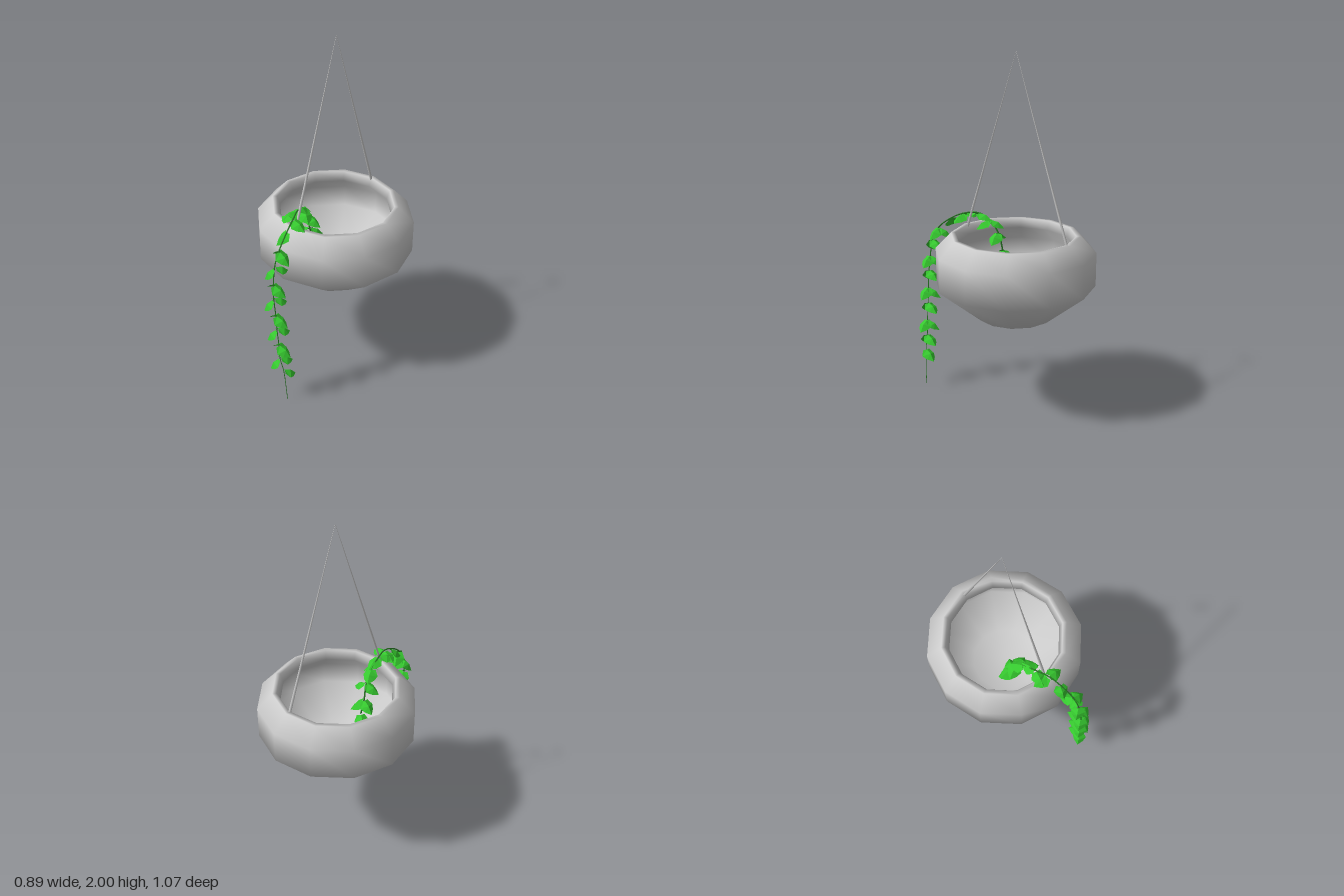
import * as THREE from 'three';
import { mergeGeometries } from 'three/addons/utils/BufferGeometryUtils.js';

const POT_Z = -0.095;
const V = (x, y, z) => new THREE.Vector3(x, y, z);

// Stem nodes from inside the bowl, over the rim and down; each carries leaves as
// [azimuth, droop] in degrees, azimuth turning from +z towards +x.
const NODES = [
  { p: V(-0.06, 0.78, 0.03), leaves: [[-120, 30]] },
  { p: V(-0.07, 0.88, 0.045), leaves: [[-100, 30], [150, 30]] },
  { p: V(-0.06, 0.98, 0.07), leaves: [[-70, 30], [100, 30]] },
  { p: V(-0.05, 1.05, 0.12), leaves: [[60, 25], [-150, 25]] },
  { p: V(-0.03, 1.082, 0.19), leaves: [[-15, 8], [-170, 15]] },
  { p: V(0.0, 1.075, 0.26), leaves: [[85, 20], [-100, 10]] },
  { p: V(0.02, 1.045, 0.33), leaves: [[-20, 40]] },
  { p: V(0.04, 0.975, 0.42), leaves: [[85, 35], [-150, 35]] },
];
const FRONT_BACK = [[-55, 50], [165, 25]];
const SIDES = [[98, 32], [-155, 35]];
[[0.045, 0.895, 0.465], [0.05, 0.795, 0.482], [0.055, 0.705, 0.49], [0.065, 0.6, 0.49],
  [0.07, 0.505, 0.49], [0.08, 0.4, 0.49], [0.085, 0.305, 0.49]].forEach((p, i) =>
  NODES.push({ p: V(...p), leaves: i % 2 ? SIDES : FRONT_BACK }));
NODES.push({ p: V(0.105, 0.22, 0.485), leaves: [[165, 30]] });
NODES.push({ p: V(0.12, 0, 0.475), leaves: [] });

// Heart-shaped blade folded along its midrib, pointing to +z
function leafGeometry() {
  const rib = [[0, 0, 0], [0, 0.007, 0.045], [0, -0.012, 0.098]];
  const pos = [];
  for (const s of [1, -1]) {
    const edge = [[s * 0.024, -0.008, -0.008], [s * 0.045, -0.02, 0.028], [s * 0.03, -0.017, 0.064]];
    const tris = [
      [rib[0], edge[1], edge[0]], [rib[0], rib[1], edge[1]],
      [rib[1], edge[2], edge[1]], [rib[1], rib[2], edge[2]],
    ];
    for (const [a, b, c] of tris) pos.push(...a, ...(s > 0 ? b : c), ...(s > 0 ? c : b));
  }
  const g = new THREE.BufferGeometry();
  g.setAttribute('position', new THREE.Float32BufferAttribute(pos, 3));
  g.computeVertexNormals();
  return g;
}

// Straight tapered rod between two points
function rod(a, b, ra, rb, sides, material) {
  const dir = b.clone().sub(a);
  const mesh = new THREE.Mesh(new THREE.CylinderGeometry(rb, ra, dir.length(), sides), material);
  mesh.position.copy(a).add(b).multiplyScalar(0.5);
  mesh.quaternion.setFromUnitVectors(V(0, 1, 0), dir.normalize());
  return mesh;
}

export function createModel() {
  const model = new THREE.Group();
  const grey = new THREE.MeshStandardMaterial({ color: 0xcccccc });
  const green = new THREE.MeshStandardMaterial({ color: 0x36c92f, flatShading: true, side: THREE.DoubleSide });
  const stemGreen = new THREE.MeshStandardMaterial({ color: 0x2a7d26 });

  // Twelve-sided bowl: outside from the base up, over the lip, then the inside
  const profile = [
    [0, 0.54], [0.21, 0.54], [0.445, 0.73], [0.445, 0.92], [0.357, 1.012], [0.333, 1.012],
    [0.315, 0.96], [0.385, 0.88], [0.385, 0.75], [0.19, 0.6], [0, 0.6],
  ].map(([r, y]) => new THREE.Vector2(r, y));
  const pot = new THREE.Mesh(new THREE.LatheGeometry(profile, 12), grey);
  pot.name = 'pot';
  pot.position.z = POT_Z;
  model.add(pot);

  // Two hanging wires that meet at the top
  for (const [name, s] of [['frontWire', 1], ['backWire', -1]]) {
    const wire = rod(V(0, 1.0, POT_Z + s * 0.335), V(0, 2, POT_Z), 0.008, 0.001, 6, grey);
    wire.name = name;
    model.add(wire);
  }

  // Trailing stem, thinning towards its tip
  const vine = new THREE.Group();
  vine.name = 'vine';
  const curve = new THREE.CatmullRomCurve3(NODES.map((n) => n.p));
  const SEG = 64, SIDE = 5;
  const tube = new THREE.TubeGeometry(curve, SEG, 0.005, SIDE);
  const tp = tube.attributes.position;
  for (let i = 0; i < tp.count; i++) {
    const t = Math.floor(i / (SIDE + 1)) / SEG;
    const c = curve.getPointAt(t);
    const v = V(0, 0, 0).fromBufferAttribute(tp, i).sub(c).multiplyScalar(1 - 0.65 * t).add(c);
    tp.setXYZ(i, v.x, Math.max(v.y, 0), v.z);
  }
  const stem = new THREE.Mesh(tube, stemGreen);
  stem.name = 'stem';
  vine.add(stem);

  // Leaves at the stem nodes
  const blade = leafGeometry();
  const blades = [];
  for (const { p, leaves } of NODES) {
    for (const [azimuth, droop] of leaves) {
      const turn = new THREE.Euler(THREE.MathUtils.degToRad(droop), THREE.MathUtils.degToRad(azimuth), 0, 'YXZ');
      const q = new THREE.Quaternion().setFromEuler(turn);
      const base = V(0, 0, 0.01).applyQuaternion(q).add(p);
      blades.push(blade.clone().applyMatrix4(new THREE.Matrix4().compose(base, q, V(0.92, 1, 0.9))));
    }
  }
  const foliage = new THREE.Mesh(mergeGeometries(blades), green);
  foliage.name = 'leaves';
  vine.add(foliage);
  model.add(vine);

  return model;
}
